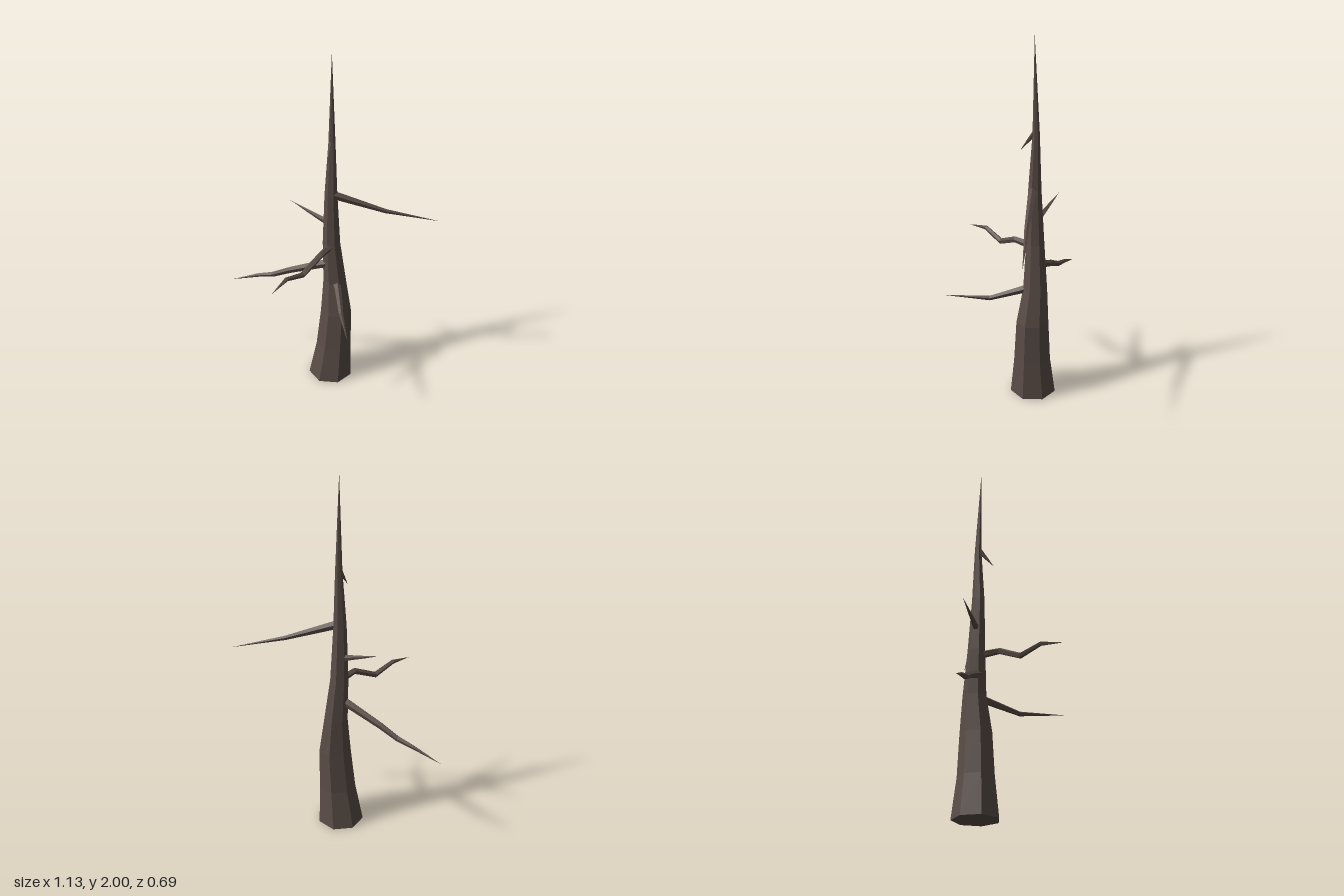
import * as THREE from 'three';

const bark = new THREE.MeshStandardMaterial({ color: 0x5a4d47, flatShading: true });
bark.name = 'darkBark';

// Tapered limb through stations [x, y, z, radius]; a radius of 0 closes to a point.
// Upright limbs keep level rings, the others turn with the path.
function limb(name, stations, sides, upright = false) {
  const pts = stations.map(([x, y, z]) => new THREE.Vector3(x, y, z));
  const up = new THREE.Vector3(0, 1, 0);
  const rings = pts.map((p, i) => {
    const t = upright
      ? up.clone()
      : pts[Math.min(i + 1, pts.length - 1)].clone().sub(pts[Math.max(i - 1, 0)]).normalize();
    const u = upright ? new THREE.Vector3(1, 0, 0) : up.clone().addScaledVector(t, -up.dot(t)).normalize();
    const v = t.clone().cross(u);
    return Array.from({ length: sides }, (_, j) => {
      const a = (j / sides) * Math.PI * 2;
      const r = stations[i][3];
      return p.clone().addScaledVector(u, r * Math.cos(a)).addScaledVector(v, r * Math.sin(a));
    });
  });
  const tris = [];
  for (let i = 0; i < rings.length - 1; i++) {
    for (let j = 0; j < sides; j++) {
      const k = (j + 1) % sides;
      const [a, b] = [rings[i], rings[i + 1]];
      tris.push(a[j], a[k], b[k]);
      if (stations[i + 1][3] > 0) tris.push(a[j], b[k], b[j]);
    }
  }
  // flat cap at the base
  for (let j = 0; j < sides; j++) tris.push(pts[0], rings[0][(j + 1) % sides], rings[0][j]);

  const geometry = new THREE.BufferGeometry().setFromPoints(tris);
  geometry.computeVertexNormals();
  const mesh = new THREE.Mesh(geometry, bark);
  mesh.name = name;
  return mesh;
}

export function createModel() {
  const tree = new THREE.Group();
  tree.name = 'deadTree';

  // Seven-sided trunk, bending slightly on its way to a sharp tip
  tree.add(limb('trunk', [
    [0.02, 0, -0.14, 0.125],
    [0.038, 0.22, -0.143, 0.1],
    [0.049, 0.45, -0.148, 0.088],
    [0.036, 0.65, -0.156, 0.065],
    [0.018, 0.9, -0.145, 0.049],
    [0.015, 1.2, -0.138, 0.035],
    [0.016, 1.5, -0.143, 0.019],
    [0.016, 2, -0.13, 0],
  ], 7, true));

  // Bare branches, each starting inside the trunk
  const branches = {
    upperLeftBranch: [
      [0.02, 1.205, -0.13, 0.024], [0.06, 1.19, -0.145, 0.022],
      [0.29, 1.1, -0.23, 0.012], [0.56, 1.025, -0.345, 0],
    ],
    upperRightTwig: [
      [0.01, 1.015, -0.14, 0.018], [-0.03, 1.03, -0.145, 0.016],
      [-0.13, 1.065, -0.155, 0.008], [-0.225, 1.1, -0.165, 0],
    ],
    crookedFrontBranch: [
      [0.02, 0.88, -0.13, 0.021], [0, 0.885, -0.02, 0.017], [-0.06, 0.822, 0.1, 0.016],
      [-0.105, 0.86, 0.215, 0.012], [-0.14, 0.84, 0.34, 0],
    ],
    lowerRightBranch: [
      [0.01, 0.765, -0.135, 0.024], [-0.03, 0.75, -0.133, 0.023], [-0.22, 0.67, -0.124, 0.018],
      [-0.32, 0.62, -0.12, 0.015], [-0.41, 0.595, -0.117, 0.011], [-0.57, 0.535, -0.105, 0],
    ],
    lowerFrontBranch: [
      [0.05, 0.65, -0.13, 0.022], [0.075, 0.635, -0.09, 0.02],
      [0.145, 0.582, 0.06, 0.013], [0.255, 0.597, 0.285, 0],
    ],
    topSpur: [
      [0.016, 1.51, -0.14, 0.016], [0.017, 1.465, -0.105, 0.01], [0.018, 1.4, -0.055, 0],
    ],
  };
  for (const [name, stations] of Object.entries(branches)) tree.add(limb(name, stations, 5));

  return tree;
}
